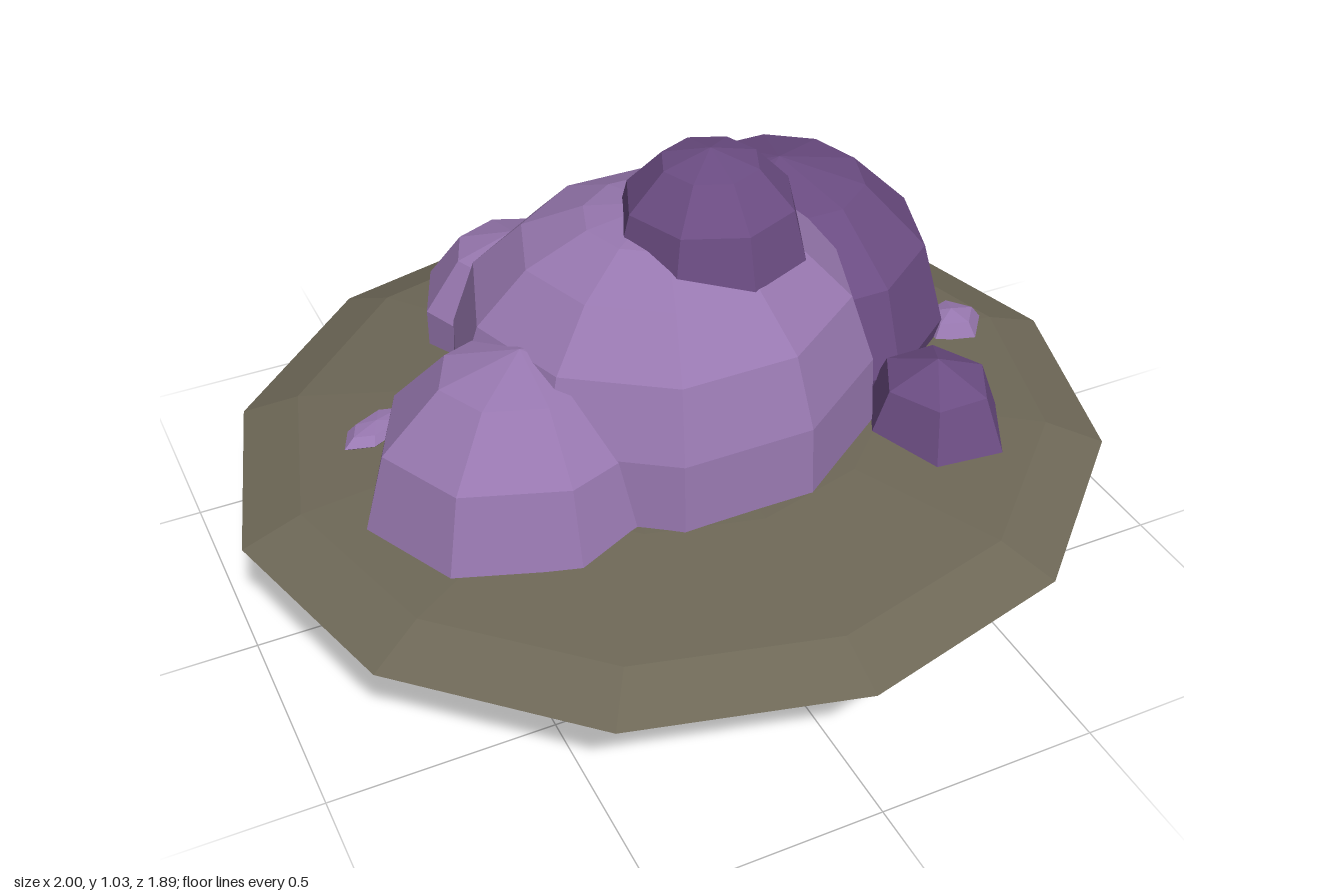
import * as THREE from 'three';

export function createModel() {
  const model = new THREE.Group();
  const mat = (name, color) => {
    const m = new THREE.MeshStandardMaterial({ color });
    m.name = name;
    return m;
  };
  const darkPurple = mat('dark purple', 0x6b4c82);
  const lightPurple = mat('light purple', 0x9878b0);
  const earth = mat('earth', 0x6e6857);

  // Adds a mesh with faceted normals
  function add(name, geometry, material, [x, y, z], [sx, sy, sz] = [1, 1, 1], turn = 0) {
    geometry.scale(sx, sy, sz);
    geometry.rotateY(turn);
    const flat = geometry.toNonIndexed();
    flat.computeVertexNormals();
    const mesh = new THREE.Mesh(flat, material);
    mesh.name = name;
    mesh.position.set(x, y, z);
    model.add(mesh);
  }
  const ball = (r, sides, rows) => new THREE.SphereGeometry(r, sides, rows);
  const dome = (r, sides, rows) =>
    new THREE.SphereGeometry(r, sides, rows, 0, Math.PI * 2, 0, Math.PI / 2);
  const lathe = (points, sides) =>
    new THREE.LatheGeometry(points.map(([r, y]) => new THREE.Vector2(r, y)), sides);

  // Ground mound: shallow domed disc with a flat underside
  add('groundMound', lathe([[0, 0], [1, 0], [0.866, 0.05], [0.5, 0.0866], [0, 0.1]], 12),
    earth, [0, 0.28, 0], [1, 1, 0.947]);

  // Main dome in the middle
  const mainProfile = [[0.49, 0.32], [0.48, 0.53], [0.425, 0.69], [0.31, 0.8], [0.17, 0.86], [0, 0.885]];
  const mainDome = lathe(mainProfile, 10);
  mainDome.rotateY(Math.PI / 2);
  add('mainDome', mainDome, lightPurple, [-0.02, 0, 0], [1, 1, 0.95]);

  // Boulders around and on the main dome
  add('topBoulder', dome(0.215, 8, 3), darkPurple, [0.065, 0.8, 0.065], [1, 1.07, 1]);
  add('largeBoulder', ball(0.4, 10, 6), darkPurple, [0.37, 0.403, -0.19]);
  add('sideBoulder', dome(0.36, 8, 3), lightPurple, [-0.4, 0.35, 0.13], [1, 0.98, 0.86]);
  add('backBoulder', ball(0.235, 8, 5), lightPurple, [-0.19, 0.37, -0.45]);
  add('frontRock', dome(0.17, 6, 2), darkPurple, [0.51, 0.335, 0.31], [1, 1.06, 1.08]);

  // Pebbles
  add('rightPebble', dome(0.085, 5, 2), lightPurple, [0.75, 0.343, 0], [1, 0.55, 0.9], Math.PI);
  add('leftPebble', ball(0.1, 6, 4), lightPurple, [-0.63, 0.35, -0.19], [1, 0.24, 0.5], 0.45);

  return model;
}
